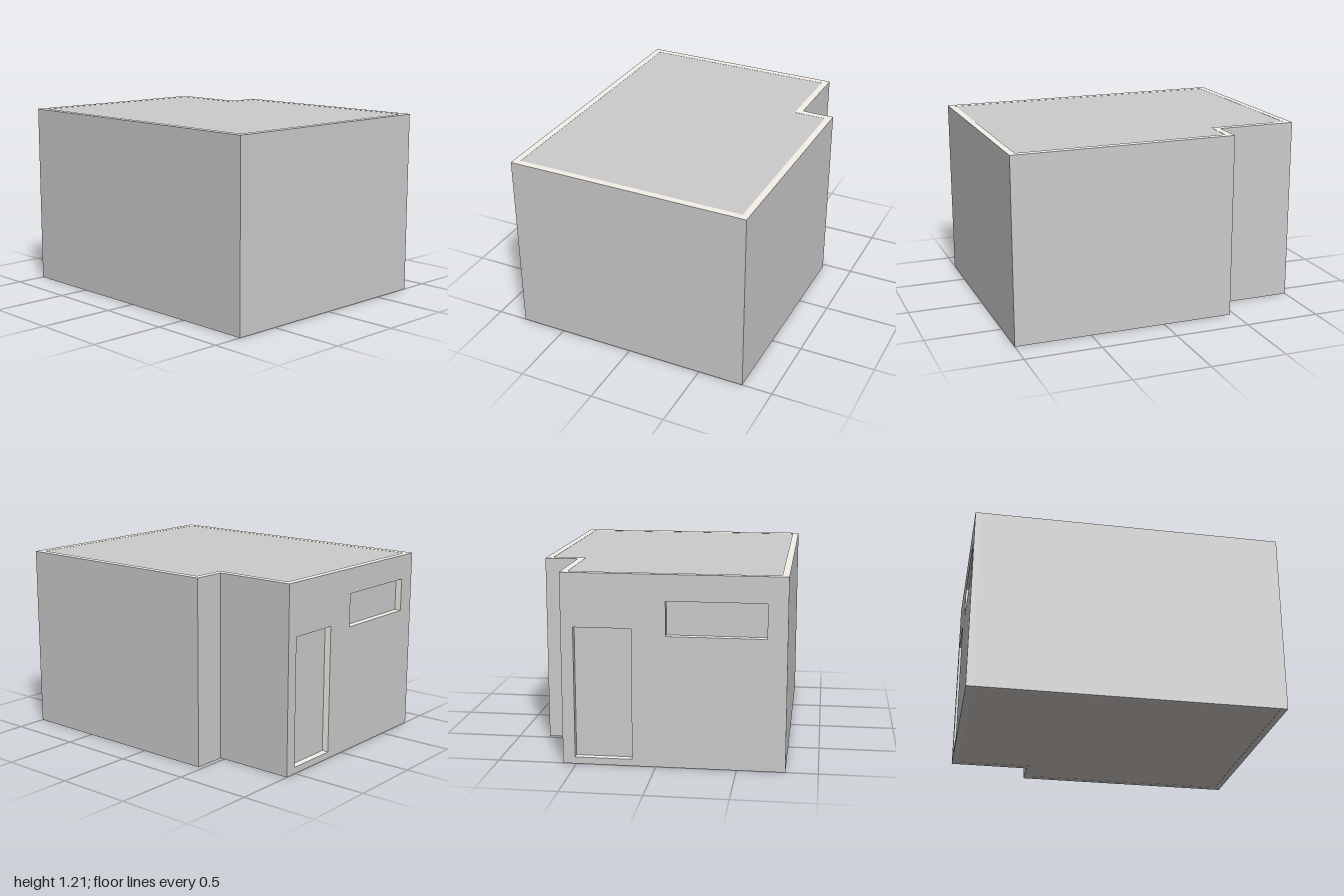
import * as THREE from 'three';

const H = 1.21, T = 0.043;                       // wall height and thickness
const L = 0.8, N = 0.585, NZ = -0.47;            // half width, notch corner x and z

const paint = (color) => new THREE.MeshStandardMaterial({ color });
const grey = paint(0xcccccc), cream = paint(0xf5f0e8), floorTone = paint(0xcfc6be);

// [x, z] outlines of the outer walls and the room inside them
const outer = [[-L, 1], [L, 1], [L, NZ], [N, NZ], [N, -1], [-L, -1]];
const inner = [[-L + T, 1 - T], [L - T, 1 - T], [L - T, NZ + T], [N - T, NZ + T], [N - T, -1 + T], [-L + T, -1 + T]];

const toVec = (pts) => pts.map(([x, z]) => new THREE.Vector2(x, -z));

function planShape(pts, hole) {
  const s = new THREE.Shape(toVec(pts));
  if (hole) s.holes.push(new THREE.Path(toVec(hole)));
  return s;
}

export function createModel() {
  const model = new THREE.Group();
  model.name = 'building';

  const add = (name, geometry, material, x = 0, y = 0, z = 0) => {
    const mesh = new THREE.Mesh(geometry, material);
    mesh.name = name;
    mesh.position.set(x, y, z);
    model.add(mesh);
    return mesh;
  };

  const slab = (name, shape, y0, y1, material) => {
    const g = new THREE.ExtrudeGeometry(shape, { depth: y1 - y0, bevelEnabled: false });
    add(name, g.rotateX(-Math.PI / 2), material, 0, y0);
  };

  // Floor and closed room volume, a hair inside the wall ends
  slab('floor', planShape(inner), 0.002, T, floorTone);
  slab('roomAndRoof', planShape(inner), T, H - 0.002, grey);

  // Side, front and notch walls, open along the back
  const back = -1 + T;
  const sideOutline = [
    [-L, 1], [L, 1], [L, NZ], [N, NZ], [N, back], [N - T, back],
    [N - T, NZ + T], [L - T, NZ + T], [L - T, 1 - T], [-L + T, 1 - T], [-L + T, back], [-L, back],
  ];
  slab('walls', planShape(sideOutline), 0, H - 0.001, grey);

  // Back wall with door and window openings: [name, x0, x1, y0, y1]
  const openings = [['door', 0.148, 0.508, 0.043, 0.872], ['window', -0.677, -0.062, 0.83, 1.046]];
  const rect = (Type, x0, x1, y0, y1) => new Type(
    [[x0, y0], [x1, y0], [x1, y1], [x0, y1]].map(([x, y]) => new THREE.Vector2(x, y)));
  const wall = rect(THREE.Shape, -L, N, 0, H - 0.001);
  for (const [, ...r] of openings) wall.holes.push(rect(THREE.Path, ...r));
  add('backWall', new THREE.ExtrudeGeometry(wall, { depth: T, bevelEnabled: false }), grey, 0, 0, -1);

  // Light sills and jambs lining the openings
  for (const [name, x0, x1, y0, y1] of openings) {
    const z = -1 + T / 2;
    add(name + 'Sill', new THREE.PlaneGeometry(x1 - x0, T).rotateX(-Math.PI / 2), cream, (x0 + x1) / 2, y0 + 0.001, z);
    add(name + 'Jamb', new THREE.PlaneGeometry(T, y1 - y0).rotateY(Math.PI / 2), cream, x0 + 0.001, (y0 + y1) / 2, z);
  }

  // Light wall tops framing the roof
  add('wallTop', new THREE.ShapeGeometry(planShape(outer, inner)).rotateX(-Math.PI / 2), cream, 0, H);

  return model;
}
